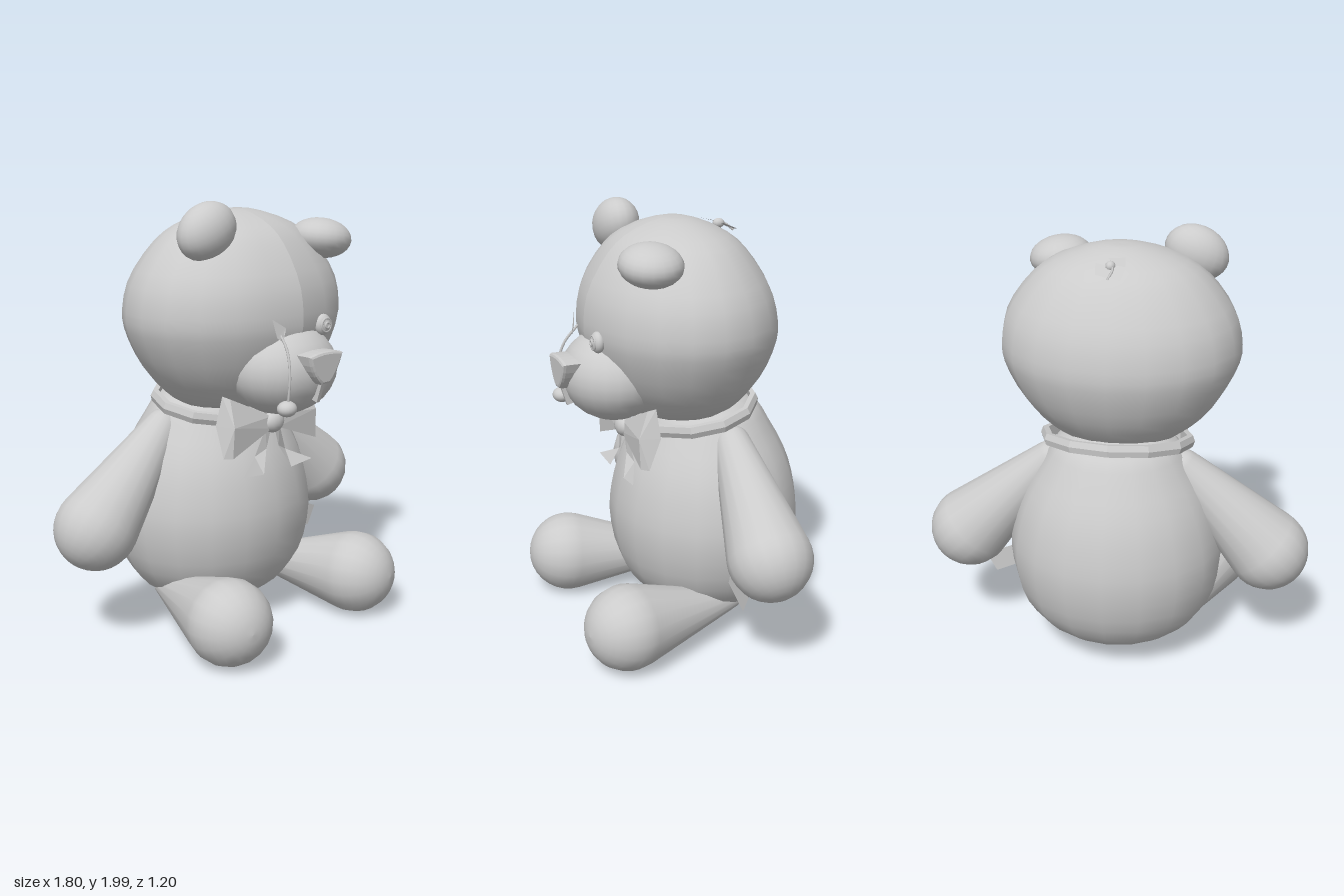
import * as THREE from 'three';
import { ConvexGeometry } from 'three/addons/geometries/ConvexGeometry.js';

const V = (x, y, z) => new THREE.Vector3(x, y, z);
const smooth = new THREE.MeshStandardMaterial({ color: 0xcccccc, side: THREE.DoubleSide });
const flat = new THREE.MeshStandardMaterial({ color: 0xcccccc, side: THREE.DoubleSide, flatShading: true });

export function createModel() {
  const model = new THREE.Group();

  const add = (name, geometry, material = smooth) => {
    const mesh = new THREE.Mesh(geometry, material);
    mesh.name = name;
    model.add(mesh);
    return mesh;
  };

  // Smooth turned form from [radius, height] pairs, bottom to top
  const turned = (pairs, segments, steps) => {
    const curve = new THREE.SplineCurve(pairs.map(p => new THREE.Vector2(...p)));
    const pts = curve.getPoints(steps).map(p => new THREE.Vector2(Math.max(p.x, 0), p.y));
    return new THREE.LatheGeometry(pts, segments);
  };

  const ball = (name, center, radii, tilt = 0, segments = 20) => {
    const mesh = add(name, new THREE.SphereGeometry(1, segments, 14));
    mesh.position.set(...center);
    mesh.scale.set(...radii);
    mesh.rotation.z = tilt;
    return mesh;
  };

  // Tapered limb with a round cap at each end
  const limb = (name, from, to, r0, r1) => {
    const dir = to.clone().sub(from);
    const length = dir.length();
    const lean = Math.asin((r1 - r0) / length);
    const pts = [];
    for (let i = 0; i <= 5; i++) {
      const a = -Math.PI / 2 + (Math.PI / 2 - lean) * i / 5;
      pts.push(new THREE.Vector2(Math.max(0, r0 * Math.cos(a)), r0 * Math.sin(a)));
    }
    for (let i = 0; i <= 9; i++) {
      const a = -lean + (Math.PI / 2 + lean) * i / 9;
      pts.push(new THREE.Vector2(Math.max(0, r1 * Math.cos(a)), length + r1 * Math.sin(a)));
    }
    const mesh = add(name, new THREE.LatheGeometry(pts, 18));
    mesh.position.copy(from);
    mesh.quaternion.setFromUnitVectors(V(0, 1, 0), dir.normalize());
  };

  // Flat cloth strip through pairs of edge points
  const cloth = (name, pairs) => {
    const geometry = new THREE.BufferGeometry();
    const index = [];
    for (let i = 0; i < pairs.length - 1; i++) {
      const k = i * 2;
      index.push(k, k + 2, k + 1, k + 1, k + 2, k + 3);
    }
    geometry.setAttribute('position', new THREE.Float32BufferAttribute(pairs.flat(2), 3));
    geometry.setIndex(index);
    geometry.computeVertexNormals();
    add(name, geometry, flat);
  };

  // Pear-shaped body
  const body = add('body', turned([
    [0, 0.065], [0.2, 0.085], [0.36, 0.17], [0.46, 0.31], [0.5, 0.5], [0.485, 0.66],
    [0.435, 0.82], [0.34, 0.98], [0.24, 1.1], [0, 1.14],
  ], 18, 22));
  body.scale.z = 0.89;
  body.position.z = -0.155;

  // Wide head, leaning back a little towards its base
  const headGeometry = turned([
    [0, 1.05], [0.42, 1.065], [0.63, 1.13], [0.83, 1.25], [0.97, 1.4], [1, 1.51],
    [0.94, 1.65], [0.74, 1.8], [0.52, 1.885], [0.2, 1.94], [0, 1.945],
  ], 20, 24);
  headGeometry.scale(0.545, 1, 0.44);
  const hp = headGeometry.attributes.position;
  for (let i = 0; i < hp.count; i++) {
    if (hp.getZ(i) < 0) hp.setZ(i, hp.getZ(i) * (1.01 + 0.18 * (1.5 - hp.getY(i))));
  }
  headGeometry.computeVertexNormals();
  add('head', headGeometry).position.z = -0.01;

  // Mismatched ears
  ball('rightEar', [-0.315, 1.873, 0.155], [0.15, 0.12, 0.105], 0.45);
  ball('leftEar', [0.32, 1.808, 0.235], [0.146, 0.092, 0.14], -0.15);

  // Muzzle, nose and mouth seam
  ball('muzzle', [0.005, 1.26, 0.3], [0.265, 0.208, 0.232], 0, 24);
  const noseShape = new THREE.Shape();
  noseShape.moveTo(-0.085, 1.345);
  noseShape.quadraticCurveTo(0.005, 1.365, 0.1, 1.345);
  noseShape.quadraticCurveTo(0.07, 1.27, 0.025, 1.235);
  noseShape.lineTo(-0.015, 1.235);
  noseShape.quadraticCurveTo(-0.065, 1.27, -0.085, 1.345);
  add('nose', new THREE.ExtrudeGeometry(noseShape, {
    depth: 0.09, bevelSize: 0.012, bevelThickness: 0.015, bevelSegments: 2, curveSegments: 5,
  }), flat).position.z = 0.46;
  const mouth = add('mouthSeam', new THREE.BoxGeometry(0.02, 0.1, 0.04));
  mouth.position.set(0.004, 1.19, 0.515);
  mouth.rotation.x = 0.3;

  // Button eyes: one sewn on, one hanging by its thread
  ball('leftEye', [0.143, 1.45, 0.415], [0.046, 0.048, 0.03]);
  for (const r of [0.012, 0.03]) {
    const ring = add('eyeRing', new THREE.TorusGeometry(r, 0.006, 6, 20));
    ring.position.set(0.143, 1.45, r < 0.02 ? 0.443 : 0.436);
  }
  ball('looseEye', [-0.163, 1.13, 0.49], [0.046, 0.035, 0.042]);
  add('looseThread', new THREE.TubeGeometry(new THREE.CatmullRomCurve3([
    V(-0.14, 1.46, 0.41), V(-0.15, 1.38, 0.475), V(-0.163, 1.27, 0.505), V(-0.163, 1.14, 0.495),
  ]), 14, 0.006, 6));
  cloth('tornEyePatch', [
    [[-0.18, 1.51, 0.415], [-0.18, 1.51, 0.415]],
    [[-0.165, 1.43, 0.43], [-0.12, 1.47, 0.435]],
    [[-0.14, 1.41, 0.44], [-0.125, 1.45, 0.44]],
  ]);

  // Arms and legs
  for (const [side, s] of [['left', 1], ['right', -1]]) {
    limb(side + 'Arm', V(s * 0.31, 0.955, -0.16), V(s * 0.71, 0.56, -0.157), 0.085, 0.19);
    limb(side + 'Leg', V(s * 0.305, 0.165, -0.17), V(s * 0.425, 0.2, 0.402), 0.045, 0.195);
  }

  // Tilted ribbon around the neck
  const collar = add('collar', new THREE.LatheGeometry([
    [0.96, -0.027], [1.04, -0.027], [1.07, 0], [1.04, 0.027], [0.96, 0.027], [0.96, -0.027],
  ].map(p => new THREE.Vector2(...p)), 12), flat);
  collar.scale.set(0.335, 1, 0.275);
  collar.position.set(0.005, 1.06, -0.1);
  collar.rotation.x = 0.2;

  // Bow: two wings, a knot and two tails
  for (const s of [1, -1]) {
    add('bowWing', new ConvexGeometry([
      [0.02, 1.04, 0.2], [0.02, 1.03, 0.26], [0.02, 0.98, 0.21], [0.02, 0.975, 0.265],
      [0.26, 1.15, 0.19], [0.245, 1.14, 0.225], [0.29, 1.02, 0.18], [0.265, 1.02, 0.275],
      [0.3, 0.88, 0.24], [0.27, 0.88, 0.27],
    ].map(p => V(s * p[0], p[1], p[2]))), flat);
    cloth('bowTail', [
      [[s * 0.005, 0.99, 0.25], [s * 0.045, 0.98, 0.25]],
      [[s * 0.04, 0.88, 0.25], [s * 0.1, 0.85, 0.235]],
      [[s * 0.09, 0.775, 0.285], [s * 0.225, 0.79, 0.29]],
    ]);
  }
  ball('bowKnot', [0.003, 1, 0.25], [0.06, 0.05, 0.04], 0, 12);

  // Cloth label in the side seam
  cloth('label', [
    [[0.44, 0.46, -0.08], [0.4, 0.37, -0.08]],
    [[0.665, 0.365, -0.08], [0.615, 0.27, -0.08]],
  ]);

  // Torn seam at the back of the head, with lifted flaps and stuffing
  cloth('tornFlap', [
    [[-0.04, 1.868, -0.3], [-0.055, 1.905, -0.22]],
    [[0.015, 1.875, -0.29], [0.015, 1.905, -0.22]],
    [[0.07, 1.885, -0.28], [0.08, 1.915, -0.21]],
  ]);
  cloth('tornFlap', [
    [[-0.05, 1.905, -0.22], [0, 1.91, -0.22]],
    [[-0.04, 1.925, -0.15], [0.03, 1.925, -0.17]],
  ]);
  ball('stuffing', [0.015, 1.905, -0.215], [0.022, 0.022, 0.028], 0, 10);
  add('seamThread', new THREE.TubeGeometry(new THREE.CatmullRomCurve3([
    V(0.015, 1.905, -0.21), V(0, 1.9, -0.25), V(0.015, 1.87, -0.29),
  ]), 8, 0.006, 5));

  return model;
}
